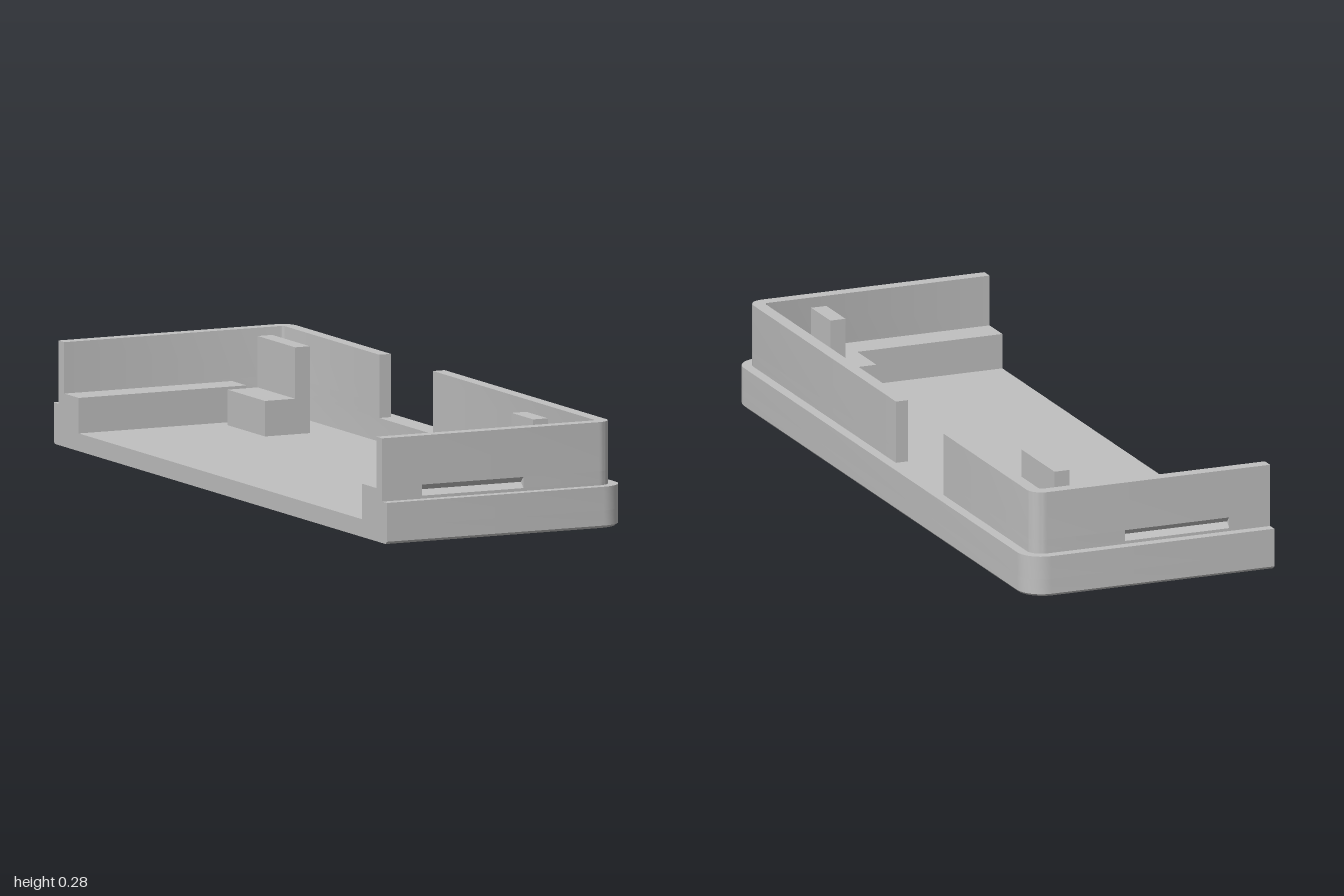
import * as THREE from 'three';
import { toCreasedNormals } from 'three/addons/utils/BufferGeometryUtils.js';

const X = 0.359, Z = 1;                 // half width and half length
const CHAMFER = 0.007, FLOOR = 0.048, RIM = 0.112, TOP = 0.283, LEDGE = 0.144;
const OUT = 0.028, IN = 0.063;          // insets of the wall's outer and inner faces
const SLOT = { x0: -0.24, x1: 0.063, y0: 0.12, y1: 0.15, depth: 0.015 };

// Plan points are [x, -z]; s = 1 is the back end, s = -1 the front end.
function corner(inset, s) {
  const r = Math.max(0.07 - inset, 0.012), n = 10, pts = [];
  for (let k = 0; k <= n; k++) {
    const a = (k / n) * Math.PI / 2;
    pts.push([X - inset - r + r * Math.sin(a), s * (Z - inset - r + r * Math.cos(a))]);
  }
  return pts;
}

// Outline rounded on the right side and straight along the open left side
function outline(inset) {
  return [[-X, Z - inset], ...corner(inset, 1), ...corner(inset, -1).reverse(), [-X, inset - Z]];
}

// L-shaped wall round one corner, ending at plan position "end"
function wallPlan(s, end, notched) {
  const face = s * (Z - OUT), back = s * (Z - OUT - SLOT.depth);
  const notch = notched
    ? [[SLOT.x0, face], [SLOT.x0, back], [SLOT.x1, back], [SLOT.x1, face]] : [];
  return [[-X, face], ...notch, ...corner(OUT, s), [X - OUT, end], [X - IN, end],
    ...corner(IN, s).reverse(), [-X, s * (Z - IN)]];
}

const toShape = (pts) => new THREE.Shape(pts.map(([x, y]) => new THREE.Vector2(x, y)));

function extrudeUp(pts, y0, y1) {
  const geo = new THREE.ExtrudeGeometry(toShape(pts), { depth: y1 - y0, bevelEnabled: false });
  return geo.rotateX(-Math.PI / 2).translate(0, y0, 0);
}

export function createModel() {
  const model = new THREE.Group();
  model.name = 'halfCase';
  const grey = new THREE.MeshStandardMaterial({ color: 0xc0c0c0 });
  grey.name = 'grey plastic';

  function add(name, geo, parent = model) {
    const mesh = new THREE.Mesh(toCreasedNormals(geo, 0.4), grey);
    mesh.name = name;
    parent.add(mesh);
  }
  function block(name, x0, x1, y0, y1, z0, z1) {
    const geo = new THREE.BoxGeometry(x1 - x0, y1 - y0, z1 - z0);
    add(name, geo.translate((x0 + x1) / 2, (y0 + y1) / 2, (z0 + z1) / 2));
  }

  // Bottom edge, drawn in at the ground on all but the open side
  const edge = extrudeUp(outline(0), 0, CHAMFER);
  const p = edge.attributes.position;
  for (let i = 0; i < p.count; i++) {
    if (p.getY(i) > CHAMFER / 2) continue;
    p.setX(i, -X + (p.getX(i) + X) * (1 - CHAMFER / (2 * X)));
    p.setZ(i, p.getZ(i) * (1 - CHAMFER / Z));
  }
  add('bottomEdge', edge);

  // Floor and the wide lower rim
  add('floor', extrudeUp(outline(0), CHAMFER, FLOOR));
  add('lowerRim', extrudeUp([...outline(0), ...outline(IN).reverse()], FLOOR, RIM));

  // Upper walls, with a gap between them and a V-shaped groove in each end
  for (const [name, s, end] of [['back', 1, 0.362], ['front', -1, 0.04]]) {
    const wall = new THREE.Group();
    wall.name = name + 'Wall';
    model.add(wall);
    add(name + 'WallFoot', extrudeUp(wallPlan(s, end, false), RIM, SLOT.y0), wall);
    add(name + 'WallGrooveBand', extrudeUp(wallPlan(s, end, true), SLOT.y0, SLOT.y1), wall);
    add(name + 'WallUpper', extrudeUp(wallPlan(s, end, false), SLOT.y1, TOP), wall);

    const face = s * (Z - OUT), deep = s * (Z - OUT - SLOT.depth);
    const mid = (SLOT.y0 + SLOT.y1) / 2;
    for (const [part, y] of [['Lower', SLOT.y0], ['Upper', SLOT.y1]]) {
      const slope = new THREE.ExtrudeGeometry(toShape([[face, y], [deep, mid], [deep, y]]),
        { depth: SLOT.x1 - SLOT.x0, bevelEnabled: false });
      add(name + 'Groove' + part, slope.rotateY(Math.PI / 2).translate(SLOT.x0, 0, 0), wall);
    }
  }

  // Ledges along both ends
  block('backLedge', -X, 0.142, FLOOR, LEDGE, IN - Z, -0.85);
  block('frontLedge', -X, 0.142, FLOOR, LEDGE, 0.85, Z - IN);

  // Supports: a low step beside a tall post
  for (const [name, z0, z1] of [['back', -0.805, -0.58], ['front', 0.72, 0.85]]) {
    block(name + 'Step', 0.063, 0.153, FLOOR, LEDGE, z0, z1);
    block(name + 'Post', 0.153, 0.197, FLOOR, TOP, z0, z1);
  }
  return model;
}
